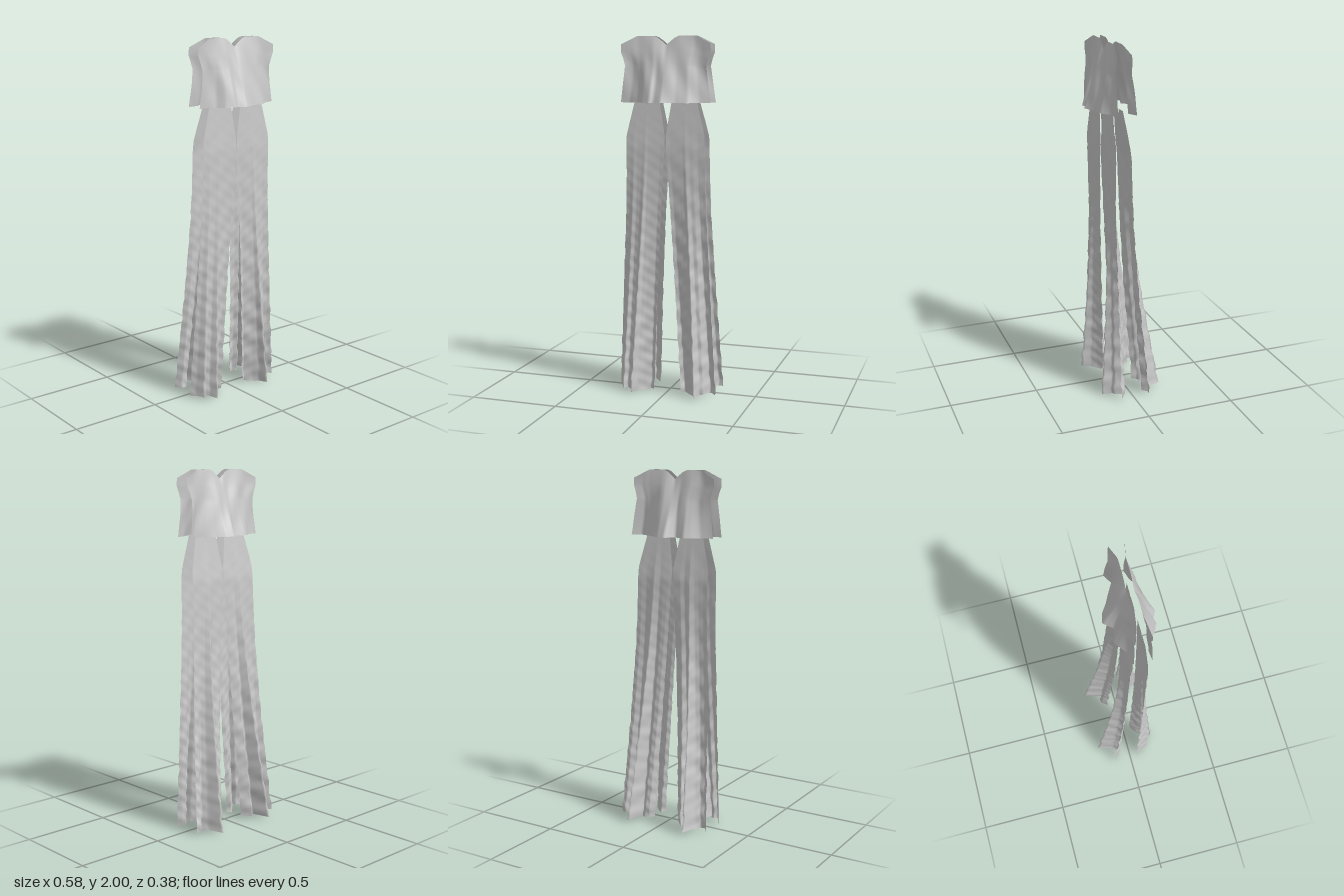
import * as THREE from 'three';

const material = new THREE.MeshStandardMaterial({ color: 0xcccccc, side: THREE.DoubleSide });

// Linear lookup in a list of [position, value] pairs, ascending
function at(table, p) {
  if (p <= table[0][0]) return table[0][1];
  for (let i = 1; i < table.length; i++) {
    const [a, va] = table[i - 1], [b, vb] = table[i];
    if (p <= b) return va + (vb - va) * (p - a) / (b - a);
  }
  return table[table.length - 1][1];
}

// Open cloth sheet: fn(u, v) gives [x, y, z], with v running from top to hem
function sheet(name, nu, nv, flip, fn) {
  const points = [], index = [];
  for (let j = 0; j <= nv; j++) {
    for (let i = 0; i <= nu; i++) points.push(...fn(i / nu, j / nv));
  }
  for (let j = 0; j < nv; j++) {
    for (let i = 0; i < nu; i++) {
      const a = j * (nu + 1) + i, b = a + 1, c = a + nu + 1, d = c + 1;
      if (flip) index.push(a, b, c, b, d, c);
      else index.push(a, c, b, b, c, d);
    }
  }
  const geometry = new THREE.BufferGeometry();
  geometry.setAttribute('position', new THREE.Float32BufferAttribute(points, 3));
  geometry.setIndex(index);
  geometry.computeVertexNormals();
  const mesh = new THREE.Mesh(geometry, material);
  mesh.name = name;
  return mesh;
}

// Bodice outline: sweetheart neckline and half width by height
const neckline = [[0, 1.95], [0.1, 1.972], [0.2, 1.99], [0.3, 2], [0.68, 2], [1, 1.955]];
const bodiceWidth = [[1.64, 0.255], [1.7, 0.247], [1.77, 0.238], [1.84, 0.231], [1.88, 0.243],
  [1.915, 0.257], [1.955, 0.255], [2, 0.245]];
const bodice = {
  front: {
    top: [[0, 0.077], [0.65, 0.077], [1, 0.098]],
    hem: [[-1, 0.105], [-0.8, 0.1], [-0.6, 0.12], [-0.46, 0.155], [-0.27, 0.178], [-0.18, 0.167],
      [0, 0.19], [0.3, 0.16], [0.56, 0.15], [0.78, 0.11], [1, 0.092]],
  },
  back: {
    top: [[0, 0.038], [0.65, 0.038], [1, 0.015]],
    hem: [[-1, 0.01], [-0.72, -0.005], [-0.55, -0.04], [-0.42, -0.058], [-0.17, -0.035], [0, -0.085],
      [0.2, -0.074], [0.4, -0.04], [0.56, -0.02], [0.8, 0.015], [1, -0.015]],
  },
};

function bodicePanel(side) {
  const { top, hem } = bodice[side];
  return sheet(side + 'Bodice', 60, 30, side === 'back', (u, v) => {
    const s = u * 2 - 1;
    const y = THREE.MathUtils.lerp(at(neckline, Math.abs(s)), 1.64, v);
    const z = THREE.MathUtils.lerp(at(top, Math.abs(s)), at(hem, s), v);
    const ripple = 0.004 * Math.sin(s * 11 + y * 18) * Math.sin(Math.PI * v);
    return [s * at(bodiceWidth, y), y, z + ripple];
  });
}

// Trouser outline: inner and outer seam by height
const innerSeam = [[0, 0.08], [0.5, 0.057], [1, 0.03], [1.4, 0.004], [1.46, 0.003], [1.65, 0.035]];
const outerSeam = [[0, 0.29], [0.5, 0.262], [1, 0.235], [1.2, 0.228], [1.46, 0.225], [1.55, 0.203], [1.65, 0.178]];

// Depth of each panel by height, and hem folds from inner to outer seam
const legs = {
  front: {
    power: 1.8,
    base: [[0, 0.085], [0.6, 0.09], [1.4, 0.1], [1.65, 0.09]],
    left: [[0, 0.06], [0.1, 0.042], [0.3, 0.08], [0.42, 0.11], [0.5, 0.165], [0.6, 0.11], [0.7, 0.1],
      [0.82, 0.045], [0.92, 0.06], [1, 0.08]],
    right: [[0, 0.06], [0.1, 0.042], [0.3, 0.08], [0.42, 0.11], [0.5, 0.165], [0.6, 0.115], [0.7, 0.1],
      [0.8, 0.125], [0.9, 0.07], [1, 0.042]],
  },
  back: {
    power: 1.5,
    base: [[0, -0.1], [0.6, -0.04], [1, -0.012], [1.4, 0.003], [1.65, 0.035]],
    left: [[0, -0.06], [0.1, -0.09], [0.22, -0.095], [0.34, -0.075], [0.5, -0.19], [0.63, -0.1],
      [0.74, -0.065], [0.88, -0.095], [1, -0.088]],
    right: [[0, -0.06], [0.1, -0.085], [0.22, -0.112], [0.34, -0.075], [0.5, -0.19], [0.63, -0.1],
      [0.74, -0.07], [0.88, -0.07], [1, -0.103]],
  },
};

function legPanel(side, hand) {
  const { power, base, [hand]: hem } = legs[side];
  const sign = hand === 'left' ? 1 : -1;
  const flip = (side === 'back') !== (sign < 0);
  return sheet(side + (hand === 'left' ? 'LeftLeg' : 'RightLeg'), 50, 110, flip, (u, v) => {
    // Small waist dart in the middle of the top edge
    const dart = 0.025 * Math.max(0, 1 - Math.abs(u - 0.5) / 0.06);
    const hemY = side === 'front' ? 0.008 - 0.008 * Math.sin(u * 6) : 0.015;
    const y = THREE.MathUtils.lerp(1.65 - dart, hemY, v);
    // Folds deepen downwards, with fine creases along them
    const t = Math.max(0, 1 - y / 1.65);
    const b = at(base, y);
    const fold = (at(hem, u) - at(base, 0)) * Math.pow(t, power);
    const crease = 0.0035 * t * Math.sin(y * 42 + u * 9) + 0.002 * t * Math.sin(y * 95 - u * 14);
    const x = THREE.MathUtils.lerp(at(innerSeam, y), at(outerSeam, y), u);
    const sway = 0.002 * t * Math.sin(y * 55 + u * 5);
    return [sign * (x + sway), y, b + fold + crease];
  });
}

export function createModel() {
  const model = new THREE.Group();
  model.name = 'jumpsuit';
  for (const side of ['front', 'back']) {
    model.add(bodicePanel(side));
    for (const hand of ['left', 'right']) model.add(legPanel(side, hand));
  }
  return model;
}
